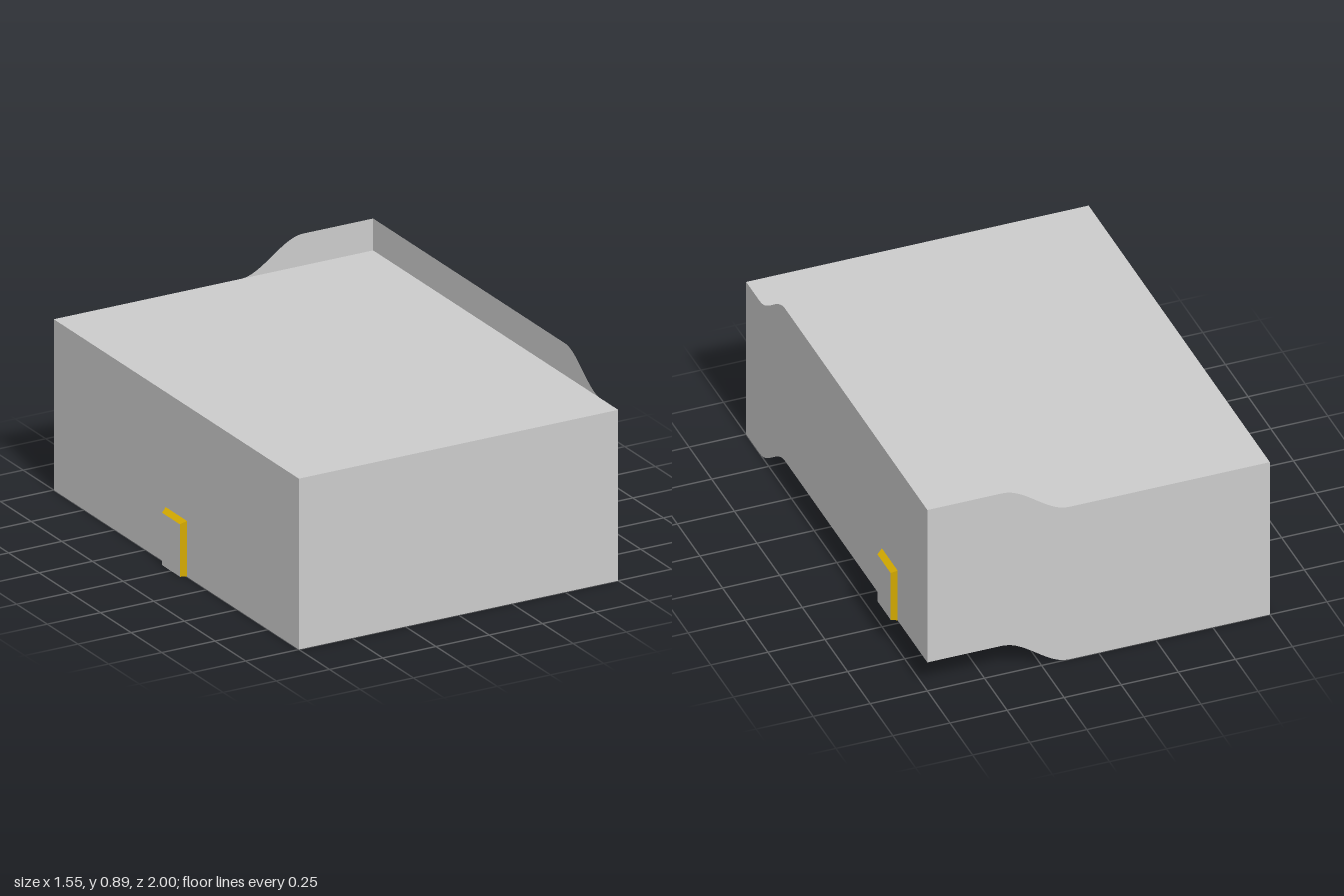
import * as THREE from 'three';
import { toCreasedNormals } from 'three/addons/utils/BufferGeometryUtils.js';

const X = 0.75, Z = 1, H = 0.75, RISE = 0.14;
const grey = new THREE.MeshStandardMaterial({ color: 0xcccccc, side: THREE.DoubleSide });
const yellow = new THREE.MeshStandardMaterial({ color: 0xd6ac00, side: THREE.DoubleSide });

// Ramps up to the raised corner of the floor
const rampX = (x) => THREE.MathUtils.smoothstep(x, 0.13, 0.42);
const rampZ = (z) => 1 - THREE.MathUtils.smoothstep(z, 0.57, 0.85);
const floorY = (x, z) => RISE * rampX(x) * rampZ(z);

// Hollow blocks standing on the floor: [x0, x1, z0, z1, height]
const blocks = [
  [-0.38, -0.17, -0.22, -0.14, 0.1],
  [-0.38, -0.17, 0.13, 0.21, 0.1],
  [-0.285, -0.115, 0.53, 0.62, 0.05],
  [-0.23, -0.17, 0.55, 0.6, 0.09],
  [-0.75, -0.53, -0.6, -0.44, 0.16],
];
// Cross-shaped blocks with a taller middle
for (const [x, z] of [[0.58, -0.03], [-0.13, -0.69]]) {
  blocks.push([x - 0.09, x + 0.09, z - 0.045, z + 0.045, 0.05]);
  blocks.push([x - 0.045, x + 0.045, z - 0.09, z + 0.09, 0.05]);
  blocks.push([x - 0.035, x + 0.035, z - 0.035, z + 0.035, 0.09]);
}
const blockHeight = (x, z) => blocks.reduce((h, [x0, x1, z0, z1, b]) =>
  x > x0 && x < x1 && z > z0 && z < z1 ? Math.max(h, b) : h, 0);

function mesh(name, geometry, material) {
  const m = new THREE.Mesh(geometry, material);
  m.name = name;
  return m;
}

function quadGeometry(quads) {
  const pos = [];
  for (const [a, b, c, d] of quads) pos.push(...a, ...b, ...c, ...a, ...c, ...d);
  const g = new THREE.BufferGeometry();
  g.setAttribute('position', new THREE.Float32BufferAttribute(pos, 3));
  g.computeVertexNormals();
  return g;
}

// Sorted grid lines: even steps plus the edges of the blocks
function gridLines(half, steps, edges) {
  const all = [...edges];
  for (let i = 0; i <= steps; i++) all.push(-half + (2 * half * i) / steps);
  all.sort((a, b) => a - b);
  return all.filter((v, i) => i === 0 || v - all[i - 1] > 1e-6);
}

function buildFloor() {
  const xs = gridLines(X, 50, blocks.flatMap((b) => [b[0], b[1]]));
  const zs = gridLines(Z, 66, blocks.flatMap((b) => [b[2], b[3]]));
  const quads = [];
  const rise = (i, j) => (i < 0 || j < 0 || i > xs.length - 2 || j > zs.length - 2)
    ? null : blockHeight((xs[i] + xs[i + 1]) / 2, (zs[j] + zs[j + 1]) / 2);
  const pt = (i, j, r) => [xs[i], floorY(xs[i], zs[j]) + r, zs[j]];
  for (let i = 0; i < xs.length - 1; i++) {
    for (let j = 0; j < zs.length - 1; j++) {
      const r = rise(i, j), rx = rise(i + 1, j), rz = rise(i, j + 1);
      quads.push([pt(i, j, r), pt(i, j + 1, r), pt(i + 1, j + 1, r), pt(i + 1, j, r)]);
      // Upright sides where the height jumps
      if (rx !== null && rx !== r)
        quads.push([pt(i + 1, j, r), pt(i + 1, j + 1, r), pt(i + 1, j + 1, rx), pt(i + 1, j, rx)]);
      if (rz !== null && rz !== r)
        quads.push([pt(i, j + 1, r), pt(i, j + 1, rz), pt(i + 1, j + 1, rz), pt(i + 1, j + 1, r)]);
    }
  }
  return mesh('floor', toCreasedNormals(quadGeometry(quads), 0.6), grey);
}

// Wall between two corners, following the floor along its foot and top
function buildWall(name, [x0, z0], [x1, z1]) {
  const quads = [], n = 80;
  const at = (i, up) => {
    const x = THREE.MathUtils.lerp(x0, x1, i / n), z = THREE.MathUtils.lerp(z0, z1, i / n);
    return [x, floorY(x, z) + up, z];
  };
  for (let i = 0; i < n; i++) quads.push([at(i, 0), at(i + 1, 0), at(i + 1, H), at(i, H)]);
  return mesh(name, quadGeometry(quads), grey);
}

// Shallow doorway with sloped yellow reveals and a flat grey panel
function buildDoor(name, side, z, y) {
  const g = new THREE.Group();
  g.name = name;
  const ring = (depth, half, top) => [[-half, 0], [-half, top], [half, top], [half, 0]]
    .map(([dz, dy]) => [X + depth, dy, -dz]);
  const inner = ring(0, 0.087, 0.245), outer = ring(0.025, 0.073, 0.23);
  const sides = [0, 1, 2].map((i) => [inner[i], inner[i + 1], outer[i + 1], outer[i]]);
  g.add(mesh('doorFrame', quadGeometry(sides), yellow));
  g.add(mesh('doorPanel', quadGeometry([[outer[0], outer[3], outer[2], outer[1]]]), grey));
  if (side < 0) g.rotation.y = Math.PI;
  g.position.set(0, y, z);
  return g;
}

export function createModel() {
  const model = new THREE.Group();
  model.name = 'room';
  model.add(buildFloor());
  model.add(buildWall('frontWall', [-X, Z], [X, Z]));
  model.add(buildWall('leftWall', [X, Z], [X, -Z]));
  model.add(buildWall('backWall', [X, -Z], [-X, -Z]));
  model.add(buildWall('rightWall', [-X, -Z], [-X, Z]));

  // Flat ceiling, lower than the raised parts of the walls
  const ceiling = mesh('ceiling', new THREE.PlaneGeometry(2 * X, 2 * Z), grey);
  ceiling.rotation.x = -Math.PI / 2;
  ceiling.position.y = H;
  model.add(ceiling);

  model.add(buildDoor('leftDoor', 1, -0.585, RISE));
  model.add(buildDoor('rightDoor', -1, 0, 0));
  return model;
}
